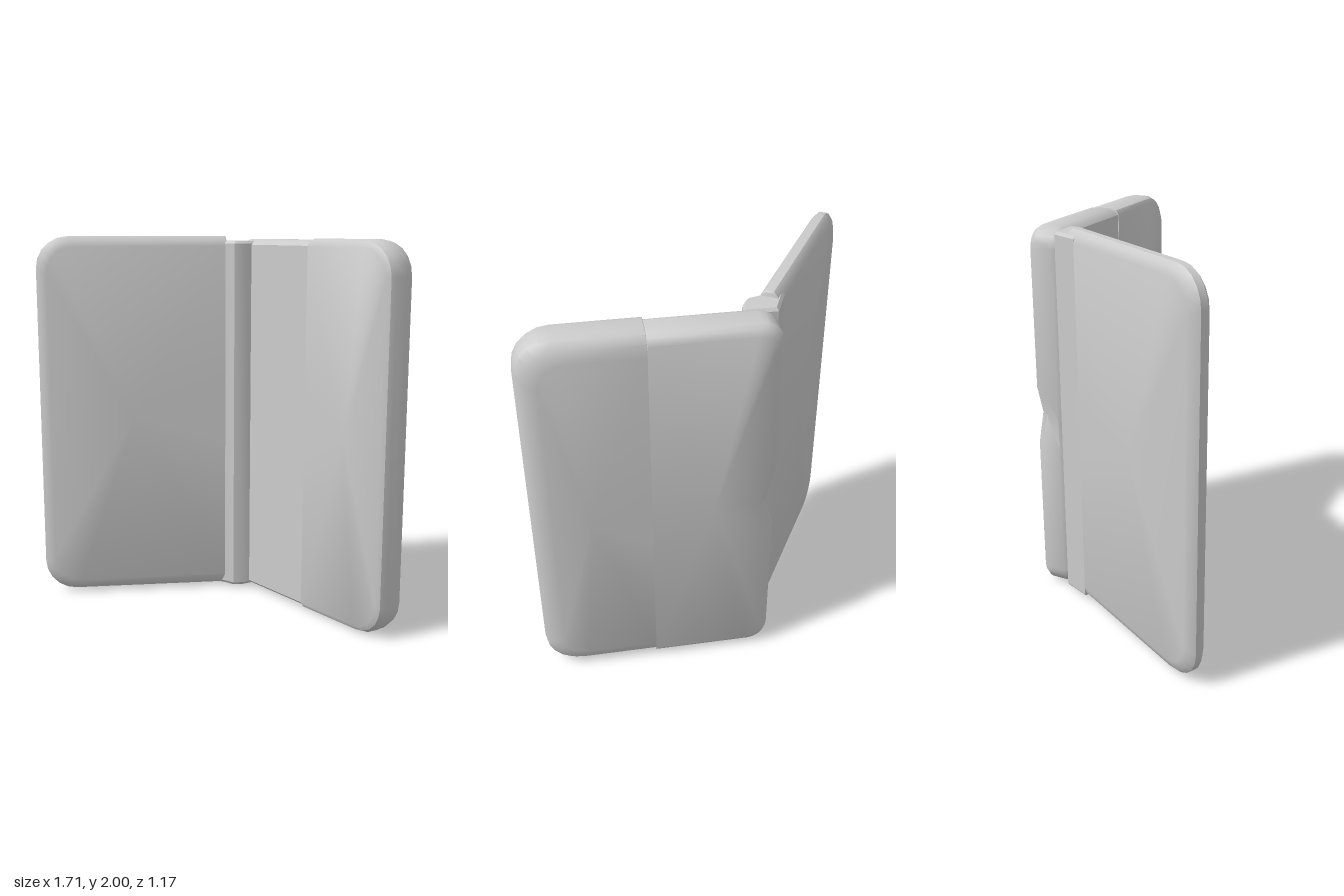
import * as THREE from 'three';
import { toCreasedNormals } from 'three/addons/utils/BufferGeometryUtils.js';

const material = new THREE.MeshStandardMaterial({ color: 0xcccccc });

// Rounded outline, counter-clockwise seen from +z, with extra points down the left edge
function outline({ x0, x1, y0, y1, rL, rR }, inset, insetL, insetR) {
  const l = x0 + insetL, r = x1 - insetR, b = y0 + inset, t = y1 - inset;
  const corners = [[r, b, -1, 1, rR, -90], [r, t, -1, -1, rR, 0], [l, t, 1, -1, rL, 90], [l, b, 1, 1, rL, 180]];
  const points = [];
  corners.forEach(([x, y, sx, sy, radius, start], c) => {
    const rad = Math.max(radius - inset * 0.5, 0.002);
    for (let i = 0; i <= 5; i++) {
      const a = THREE.MathUtils.degToRad(start + i * 18);
      points.push([x + sx * rad + rad * Math.cos(a), y + sy * rad + rad * Math.sin(a)]);
    }
    if (c === 2) for (const k of [0.58, 0.5, 0.42]) points.push([l, y0 + (y1 - y0) * k]);
  });
  return points;
}

// Slab lofted through rings of [z, inset]; seam names a side left square
function slab(name, size, rings, { seam, deform } = {}) {
  const loops = rings.map(([z, inset]) =>
    outline(size, inset, seam === 'left' ? 0 : inset, seam === 'right' ? 0 : inset)
      .map(([x, y]) => (deform ? deform(x, y, z) : [x, y, z])));
  const n = loops[0].length, last = loops.length - 1;
  const cx = (size.x0 + size.x1) / 2, cy = (size.y0 + size.y1) / 2;
  const pos = [];
  const tri = (...p) => p.forEach((v) => pos.push(...v));
  for (let i = 0; i < n; i++) {
    const j = (i + 1) % n;
    for (let k = 0; k < last; k++) {
      tri(loops[k][i], loops[k][j], loops[k + 1][j]);
      tri(loops[k][i], loops[k + 1][j], loops[k + 1][i]);
    }
    tri([cx, cy, rings[0][0]], loops[0][j], loops[0][i]);
    tri([cx, cy, rings[last][0]], loops[last][i], loops[last][j]);
  }
  const geometry = new THREE.BufferGeometry();
  geometry.setAttribute('position', new THREE.Float32BufferAttribute(pos, 3));
  const mesh = new THREE.Mesh(toCreasedNormals(geometry, 0.6), material);
  mesh.name = name;
  return mesh;
}

export function createModel() {
  const group = new THREE.Group();

  // Thick half: two sections meeting at a seam
  const body = new THREE.Group();
  body.name = 'body';
  const outer = slab('bodyOuterSection',
    { x0: 0.275, x1: 0.85, y0: 0, y1: 1.99, rL: 0.004, rR: 0.17 },
    [[-0.592, 0.1], [-0.575, 0.045], [-0.54, 0.01], [-0.5, 0], [-0.43, 0], [-0.4, 0.012], [-0.385, 0.035]],
    { seam: 'left' });

  // Small dent halfway up the rear spine edge
  const dent = (x, y, z) => {
    const atEdge = x < -0.2 && Math.abs(y - 0.995) < 0.05 && z < -0.5;
    return [x + (atEdge ? 0.05 : 0), y, z];
  };
  const inner = slab('bodySpineSection',
    { x0: -0.33, x1: 0.275, y0: 0.006, y1: 1.984, rL: 0.1, rR: 0.004 },
    [[-0.586, 0.045], [-0.57, 0.018], [-0.54, 0], [-0.44, 0], [-0.405, 0.015], [-0.389, 0.03]],
    { seam: 'right', deform: dent });
  body.add(outer, inner);
  group.add(body);

  // Hinge strip: constant cross-section over the full height
  const section = [[-0.33, -0.42], [-0.39, -0.28], [-0.34, -0.25], [-0.28, -0.28],
    [-0.21, -0.3], [-0.18, -0.35], [-0.17, -0.42]];
  const shape = new THREE.Shape(section.map(([x, z]) => new THREE.Vector2(x, -z)));
  const hingeGeometry = new THREE.ExtrudeGeometry(shape, {
    depth: 1.93, bevelThickness: 0.015, bevelSize: 0.012, bevelOffset: -0.012, bevelSegments: 1 });
  hingeGeometry.rotateX(-Math.PI / 2).translate(0, 0.03, 0);
  const hinge = new THREE.Mesh(toCreasedNormals(hingeGeometry, 0.4), material);
  hinge.name = 'hinge';
  group.add(hinge);

  // Thin half, swung open about the hinge
  const cover = slab('cover',
    { x0: -0.04, x1: 0.99, y0: 0.015, y1: 2, rL: 0.01, rR: 0.17 },
    [[-0.052, 0.055], [-0.04, 0.02], [-0.018, 0], [0.018, 0], [0.04, 0.02], [0.052, 0.055]],
    { seam: 'left' });
  cover.position.set(-0.33, 0, -0.28);
  cover.rotation.y = -2.104;
  group.add(cover);

  return group;
}
